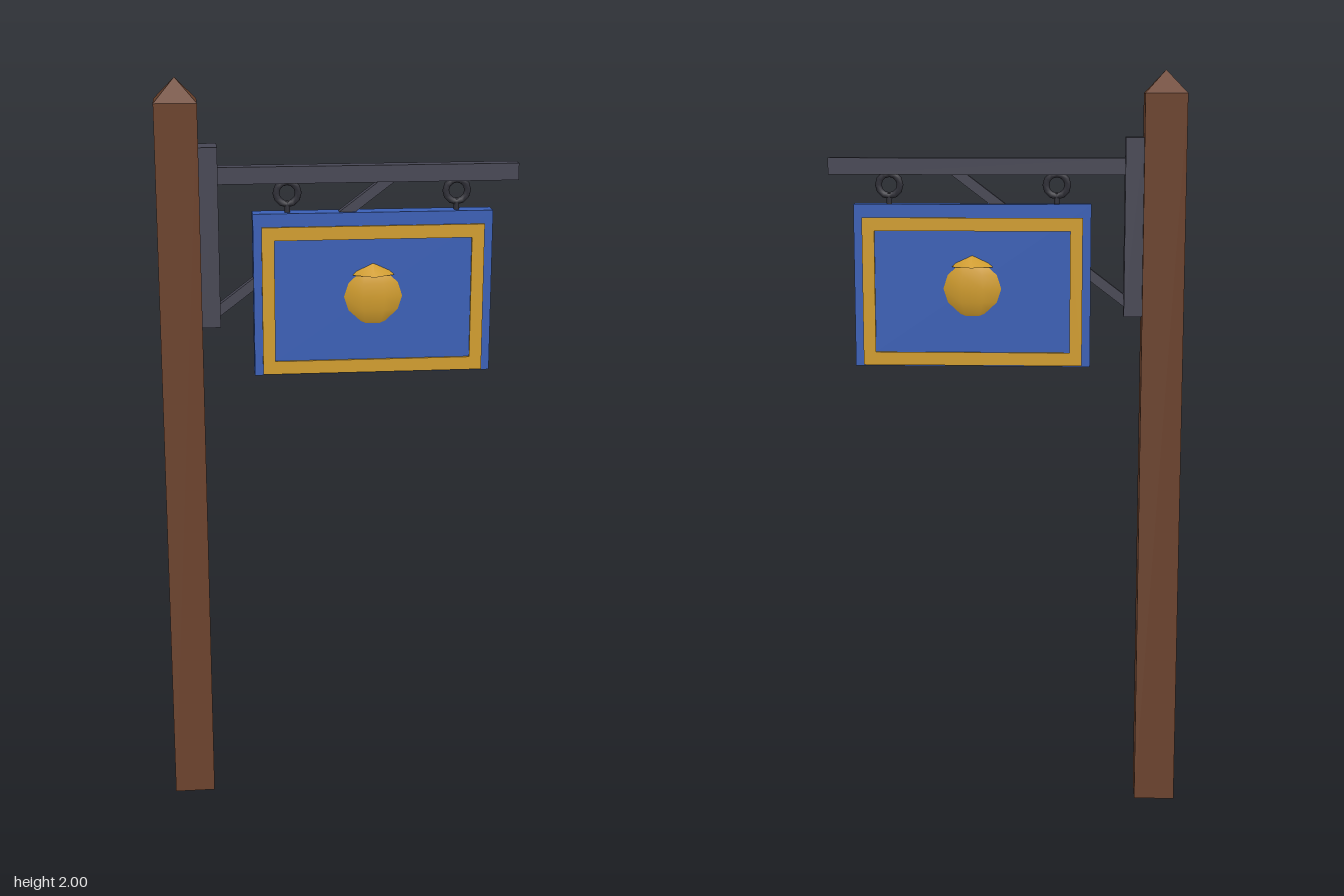
import * as THREE from 'three';

const mat = (name, color, flatShading = false) => {
  const m = new THREE.MeshStandardMaterial({ color });
  m.name = name;
  m.flatShading = flatShading;
  return m;
};

export function createModel() {
  const wood = mat('brown wood', 0x6b422d, true);
  const iron = mat('grey iron', 0x464653);
  const darkIron = mat('dark iron', 0x303038);
  const blue = mat('blue paint', 0x3a5fb5);
  const gold = mat('gold', 0xd09c2e);

  const root = new THREE.Group();
  root.name = 'hangingSign';
  const add = (name, geometry, material, x, y, z = 0, parent = root) => {
    const mesh = new THREE.Mesh(geometry, material);
    mesh.name = name;
    mesh.position.set(x, y, z);
    parent.add(mesh);
    return mesh;
  };
  const box = (w, h, d) => new THREE.BoxGeometry(w, h, d);

  // Square post with a pyramid top
  add('post', box(0.11, 1.94, 0.11), wood, -0.418, 0.97);
  const cap = new THREE.ConeGeometry(0.055 * Math.SQRT2, 0.06, 4).rotateY(Math.PI / 4);
  add('postCap', cap, wood, -0.418, 1.97);

  // Iron bracket: wall plate, arm and diagonal brace
  add('bracketPlate', box(0.048, 0.47, 0.08), iron, -0.339, 1.592);
  add('bracketArm', box(0.785, 0.044, 0.04), iron, 0.0775, 1.751);
  const from = new THREE.Vector2(-0.325, 1.39);
  const to = new THREE.Vector2(0.135, 1.738);
  const span = to.clone().sub(from);
  const brace = add('brace', box(span.length(), 0.026, 0.026), iron,
    (from.x + to.x) / 2, (from.y + to.y) / 2);
  brace.rotation.z = span.angle();

  // Hanging rings with short stems into the board
  for (const x of [-0.135, 0.31]) {
    const hanger = new THREE.Group();
    hanger.name = 'hanger';
    hanger.position.x = x;
    root.add(hanger);
    add('ring', new THREE.TorusGeometry(0.029, 0.009, 6, 12), darkIron, 0, 1.702, 0, hanger);
    add('stem', new THREE.CylinderGeometry(0.008, 0.008, 0.04, 6), darkIron, 0, 1.66, 0, hanger);
  }

  // Painted board
  const cx = 0.0885;
  add('signBoard', box(0.63, 0.432, 0.05), blue, cx, 1.436);

  // Gold border raised on both faces
  const rect = (path, w, h) => path.moveTo(-w, -h).lineTo(w, -h).lineTo(w, h).lineTo(-w, h).closePath();
  const border = rect(new THREE.Shape(), 0.293, 0.197);
  border.holes.push(rect(new THREE.Path(), 0.26, 0.162));
  const borderGeo = new THREE.ExtrudeGeometry(border, { depth: 0.006, bevelEnabled: false });
  add('frontBorder', borderGeo, gold, cx, 1.42, 0.025);
  add('backBorder', borderGeo, gold, cx, 1.42, -0.031);

  // Emblem: a flattened ball with a six-sided cone on top, showing on both faces
  const ball = new THREE.SphereGeometry(0.095, 10, 8).scale(1, 1, 0.45);
  add('emblemBody', ball, gold, cx, 1.429);
  add('emblemTop', new THREE.ConeGeometry(0.063, 0.05, 6), gold, cx, 1.512);

  return root;
}
